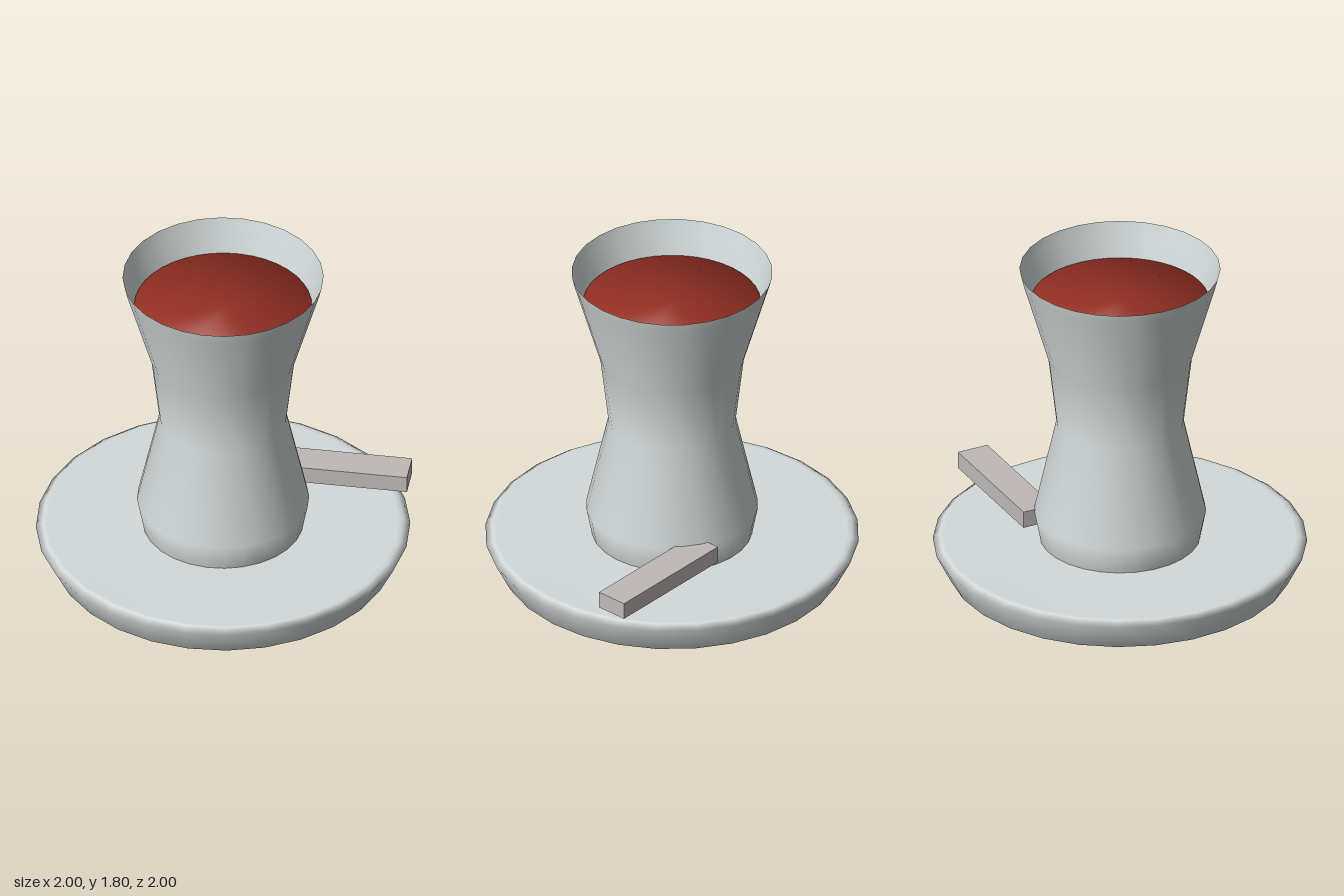
import * as THREE from 'three';

// Smooth surface of revolution from [radius, height] pairs, listed bottom to top
function turned(name, profile, segments, material) {
  const points = profile.map(([r, y]) => new THREE.Vector2(r, y));
  const mesh = new THREE.Mesh(new THREE.LatheGeometry(points, segments), material);
  mesh.name = name;
  return mesh;
}

export function createModel() {
  const group = new THREE.Group();
  group.name = 'teaGlassOnSaucer';

  const porcelain = new THREE.MeshStandardMaterial({ color: 0xd3dad9, side: THREE.DoubleSide });
  porcelain.name = 'pale glass grey';
  const tea = new THREE.MeshStandardMaterial({ color: 0x963024 });
  tea.name = 'tea red';
  const metal = new THREE.MeshStandardMaterial({ color: 0xbfbab8 });
  metal.name = 'spoon grey';

  // Saucer: closed disc with flared side and a small chamfered rim
  group.add(turned('saucer', [
    [0, 0], [0.9, 0], [0.92, 0], [1, 0.16], [0.965, 0.185], [0.94, 0.183], [0, 0.18],
  ], 28, porcelain));

  // Waisted glass: open thin shell
  group.add(turned('glass', [
    [0, 0.182], [0.42, 0.182], [0.43, 0.185], [0.46, 0.34], [0.34, 0.88],
    [0.385, 1.27], [0.522, 1.74], [0.537, 1.8],
  ], 28, porcelain));

  // Tea: rounded-shaded surface just below the rim
  group.add(turned('tea', [
    [0.375, 1.3], [0.475, 1.61], [0, 1.61],
  ], 40, tea));

  // Spoon handle: flat bar running out of the glass side over the saucer
  const handle = new THREE.Mesh(new THREE.BoxGeometry(0.177, 0.095, 0.762), metal);
  handle.name = 'spoonHandle';
  handle.position.set(0.617, 0.308, 0.308);
  handle.rotation.y = 0.495;
  group.add(handle);

  return group;
}
